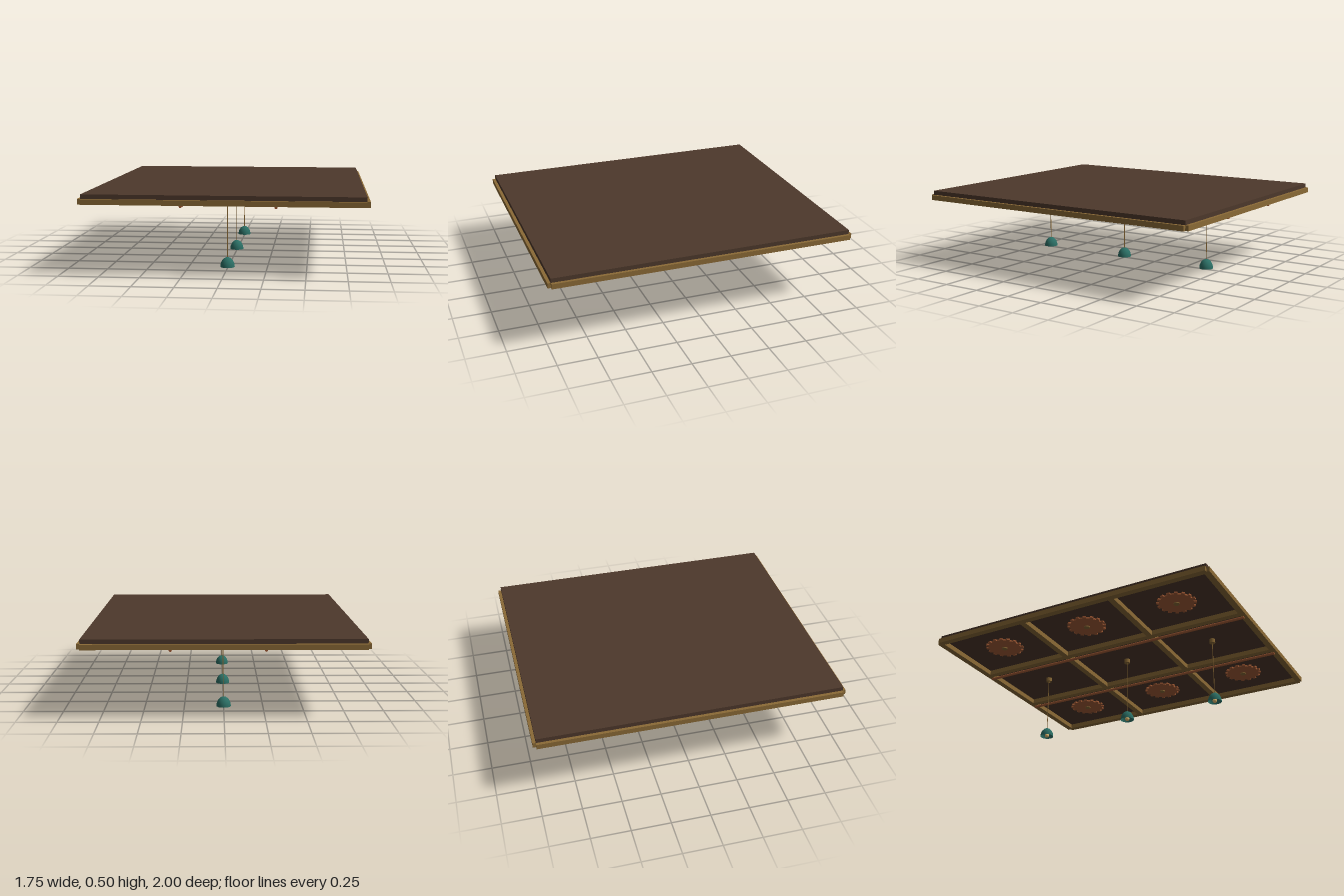
import * as THREE from 'three';

const mat = (name, color, side = THREE.FrontSide) => {
  const m = new THREE.MeshStandardMaterial({ color, side });
  m.name = name;
  return m;
};

export function createModel() {
  const root = new THREE.Group();
  root.name = 'cofferedCeiling';
  const wood = mat('darkWood', 0x4d382b);
  const brass = mat('agedBrass', 0x8b6a36);
  const copper = mat('copper', 0xa45c36);
  const teal = mat('tealEnamel', 0x2b6e64, THREE.DoubleSide);
  const glow = mat('warmBulb', 0xf2c878);

  const add = (name, geo, material, x, y, z, parent = root) => {
    const mesh = new THREE.Mesh(geo, material);
    mesh.name = name;
    mesh.position.set(x, y, z);
    parent.add(mesh);
    return mesh;
  };
  const box = (name, w, h, d, material, x, y, z) =>
    add(name, new THREE.BoxGeometry(w, h, d), material, x, y, z);

  const W = 1.71, D = 1.96, beamY = 0.455, beamH = 0.033, beamW = 0.04;

  // Ceiling panel
  box('ceilingPanel', W, 0.028, D, wood, 0, 0.485, 0);

  // Edge trim and coffer beams
  for (const s of [-1, 1]) {
    box('endTrim', W, beamH, beamW, brass, 0, beamY, s * D / 2);
    box('sideTrim', beamW, beamH, D, brass, s * W / 2, beamY, 0);
    box('crossBeam', W, beamH, beamW, brass, 0, beamY, s * D / 6);
    box('longBeam', beamW, beamH, D, brass, s * W / 6, beamY, 0);

    // Pipe running beside each long beam
    const pipe = new THREE.CylinderGeometry(0.0095, 0.0095, D, 8);
    pipe.rotateX(Math.PI / 2);
    add('pipe', pipe, copper, s * W / 6 + 0.035, 0.4325, 0);
  }

  // Gear outline with square teeth
  const teeth = 16, outline = [];
  for (let i = 0; i < teeth; i++) {
    [[-0.25, 0.112], [-0.22, 0.128], [0.22, 0.128], [0.25, 0.112]].forEach(([o, r]) => {
      const a = (i + o) / teeth * Math.PI * 2;
      outline.push(new THREE.Vector2(Math.cos(a) * r, Math.sin(a) * r));
    });
  }
  const gearGeo = new THREE.ExtrudeGeometry(new THREE.Shape(outline), { depth: 0.012, bevelEnabled: false });
  gearGeo.rotateX(Math.PI / 2);
  const hubGeo = new THREE.CylinderGeometry(0.02, 0.02, 0.02, 12);

  // Lamp shade: open dome
  const dome = [];
  for (let i = 0; i <= 8; i++) {
    const a = i / 8 * Math.PI / 2;
    dome.push(new THREE.Vector2(0.046 * Math.cos(a), 0.062 * Math.sin(a)));
  }
  const shadeGeo = new THREE.LatheGeometry(dome, 16);
  const cordGeo = new THREE.CylinderGeometry(0.0025, 0.0025, 0.395, 6);
  const roseGeo = new THREE.CylinderGeometry(0.02, 0.02, 0.03, 12);
  const bulbGeo = new THREE.SphereGeometry(0.015, 12, 8);

  for (const z of [-0.653, 0, 0.653]) {
    // Gear ornaments in the outer coffers
    for (const x of [-0.57, 0.57]) {
      add('gear', gearGeo, copper, x, 0.472, z);
      add('gearHub', hubGeo, brass, x, 0.463, z);
    }
    // Pendant lamps along the middle
    const lamp = new THREE.Group();
    lamp.name = 'pendantLamp';
    lamp.position.z = z;
    root.add(lamp);
    add('ceilingRose', roseGeo, brass, 0, 0.458, 0, lamp);
    add('cord', cordGeo, brass, 0, 0.2625, 0, lamp);
    add('shade', shadeGeo, teal, 0, 0.008, 0, lamp);
    add('bulb', bulbGeo, glow, 0, 0.015, 0, lamp);
  }
  return root;
}
